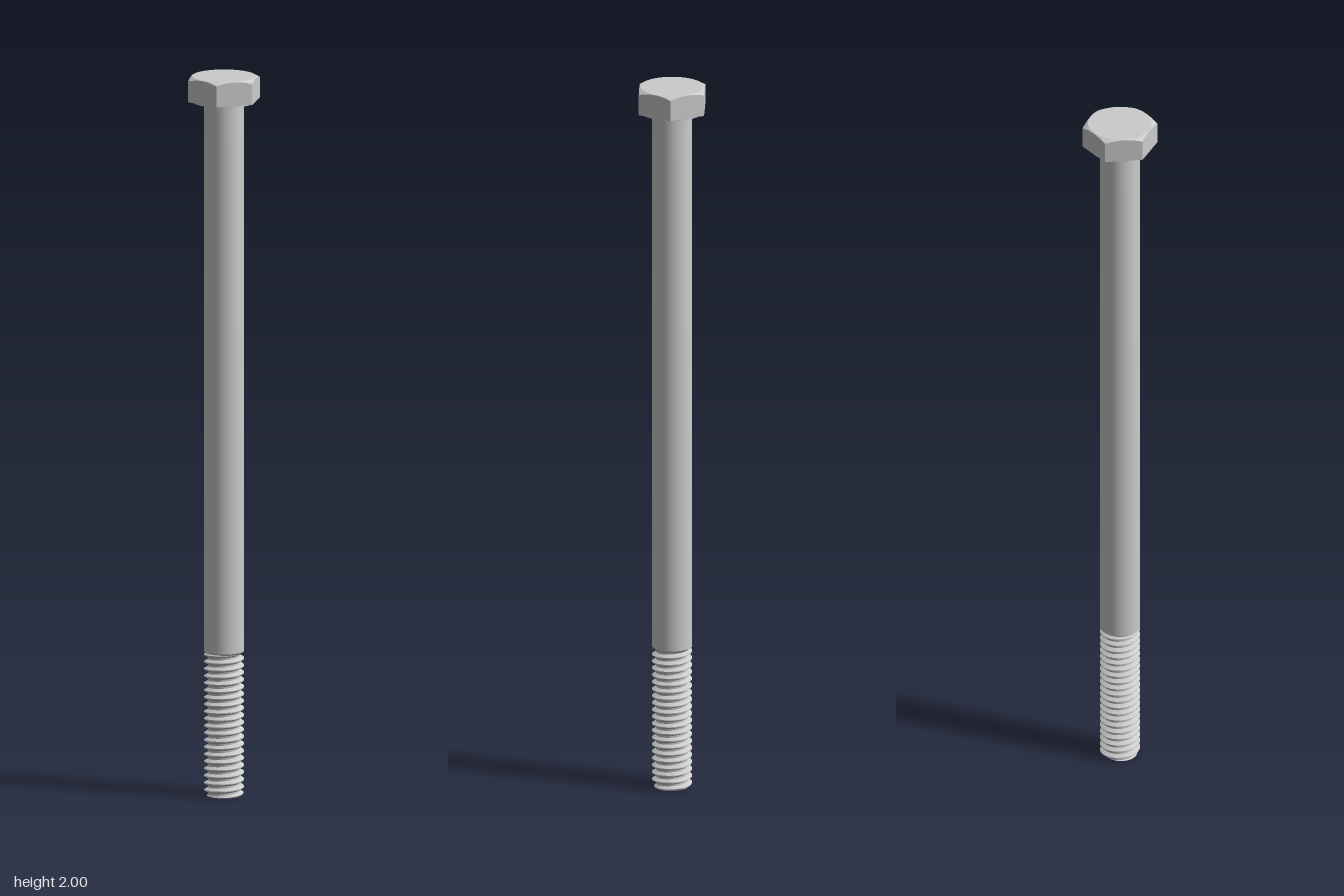
import * as THREE from 'three';
import { toCreasedNormals } from 'three/addons/utils/BufferGeometryUtils.js';

const SEGS = 72;
const TAU = Math.PI * 2;

// Skins a stack of rings, bottom to top; ring(i, angle) returns [radius, height].
// Creasing is done at 100x so that small details are not merged.
function skin(name, rows, ring) {
  const pos = [], index = [];
  for (let i = 0; i < rows; i++) {
    for (let j = 0; j <= SEGS; j++) {
      const t = (j / SEGS) * TAU;
      const [r, y] = ring(i, t);
      pos.push(100 * r * Math.sin(t), 100 * y, 100 * r * Math.cos(t));
      if (i < rows - 1 && j < SEGS) {
        const a = i * (SEGS + 1) + j, c = a + SEGS + 1;
        index.push(a, a + 1, c, a + 1, c + 1, c);
      }
    }
  }
  const geo = new THREE.BufferGeometry();
  geo.setAttribute('position', new THREE.Float32BufferAttribute(pos, 3));
  geo.setIndex(index);
  const creased = toCreasedNormals(geo, 0.4);
  creased.scale(0.01, 0.01, 0.01);
  const mesh = new THREE.Mesh(creased, new THREE.MeshStandardMaterial({ color: 0xcccccc }));
  mesh.name = name;
  return mesh;
}

// Hexagonal head: washer face below, conical chamfer cutting the top corners
function head() {
  const flat = 0.089, bevel = 0.087, seat = 1.928, under = 1.933, top = 2;
  const hex = (t) => {
    const third = Math.PI / 3;
    return flat / Math.cos(((t + third / 2) % third) - third / 2);
  };
  return skin('hexHead', 7, (i, t) => [
    [0, seat],
    [0.085, seat],
    [0.085, under],
    [hex(t), under],
    [hex(t), top - (hex(t) - bevel) * Math.tan(Math.PI / 6)],
    [bevel, top],
    [0, top],
  ][i]);
}

// Smooth shank with a small bevel where the thread begins
function shank() {
  const profile = [[0, 0.393], [0.044, 0.393], [0.055, 0.402], [0.055, 1.93]];
  return skin('shank', profile.length, (i) => profile[i]);
}

// Right-handed helical thread: crest, flank, root, flank along each pitch
function thread() {
  const pitch = 0.0198, length = 0.398, turns = 22;
  const crest = 0.0545, root = 0.0435;
  const stops = [0, 0.125, 0.4375, 0.6875];
  const radius = (t, y) => {
    const s = (((y / pitch - t / TAU) % 1) + 1) % 1;
    let depth = 0;
    if (s > 0.6875) depth = (1 - s) / 0.3125;
    else if (s > 0.4375) depth = 1;
    else if (s > 0.125) depth = (s - 0.125) / 0.3125;
    // The point of the bolt is bevelled
    return Math.min(crest - (crest - root) * depth, 0.047 + y);
  };
  const rows = turns * stops.length;
  return skin('thread', rows + 1, (i, t) => {
    if (i === 0) return [0, 0];
    const k = Math.floor((i - 1) / 4) - 1;
    const y = (k + stops[(i - 1) % 4] + t / TAU) * pitch;
    const clamped = Math.min(Math.max(y, 0), length);
    return [radius(t, clamped), clamped];
  });
}

export function createModel() {
  const bolt = new THREE.Group();
  bolt.name = 'hexBolt';
  bolt.add(head(), shank(), thread());
  return bolt;
}
